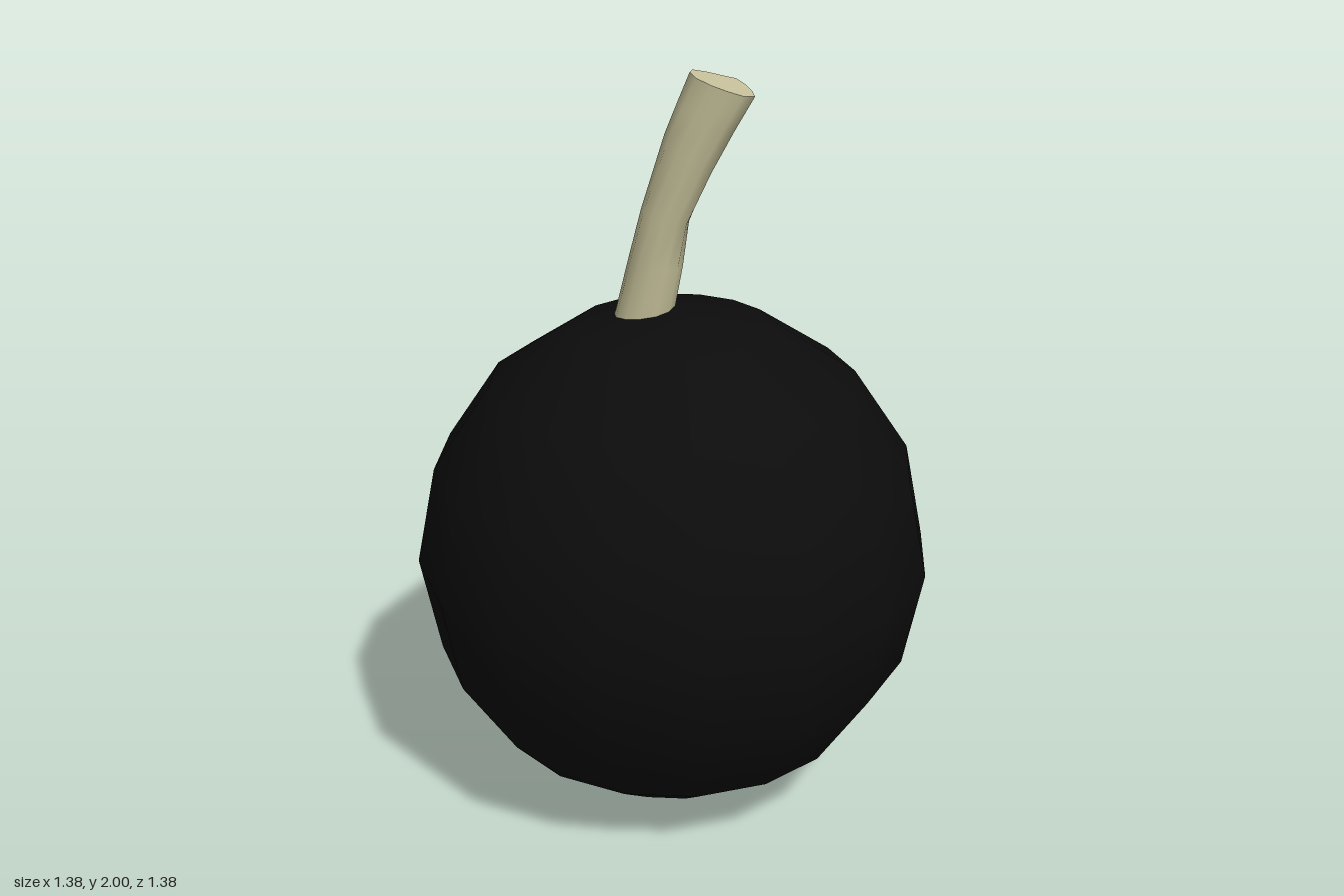
import * as THREE from 'three';

// Cut end of the stem as a unit outline (x, z), pinched at the back right
const CUT = [
  [1, 0.45], [0.75, 0.92], [0.3, 1.05], [-0.2, 1.03], [-0.7, 0.8], [-0.97, 0.35],
  [-0.98, -0.1], [-0.65, -0.45], [-0.2, -0.72], [0.17, -0.97], [0.5, -0.65], [0.8, -0.15],
];

// Stem rings: left x, left y, right x, right y, blend from round to the cut outline
const RINGS = [
  [-0.19, 1.25, -0.03, 1.25, 0],
  [-0.155, 1.36, 0.0, 1.36, 0],
  [-0.12, 1.5, 0.025, 1.49, 0.1],
  [-0.083, 1.64, 0.045, 1.61, 0.45],
  [-0.02, 1.84, 0.108, 1.75, 0.75],
  [0.012, 1.92, 0.165, 1.86, 0.9],
  [0.045, 2.0, 0.215, 1.95, 1],
];

function ringPoints([lx, ly, rx, ry, blend]) {
  return CUT.map(([cu, cv], i) => {
    const a = THREE.MathUtils.degToRad(25 + 30 * i);
    const u = THREE.MathUtils.lerp(Math.cos(a), cu, blend);
    const v = THREE.MathUtils.lerp(Math.sin(a), cv, blend);
    return [(lx + rx) / 2 + u * (rx - lx) / 2, (ly + ry) / 2 + u * (ry - ly) / 2, v * 0.067];
  });
}

function makeGeometry(points, index) {
  const geometry = new THREE.BufferGeometry();
  geometry.setAttribute('position', new THREE.Float32BufferAttribute(points.flat(), 3));
  geometry.setIndex(index);
  geometry.computeVertexNormals();
  return geometry;
}

function addMesh(parent, name, geometry, material) {
  const mesh = new THREE.Mesh(geometry, material);
  mesh.name = name;
  parent.add(mesh);
  return mesh;
}

export function createModel() {
  const model = new THREE.Group();
  model.name = 'roundFruit';
  const skin = new THREE.MeshStandardMaterial({ color: 0x0c0c0c });
  const wood = new THREE.MeshStandardMaterial({ color: 0xc6c19a });

  // Round body
  const body = addMesh(model, 'body', new THREE.SphereGeometry(0.69, 16, 8), skin);
  body.position.y = 0.69;

  // Bent stem, smooth along its side
  const stem = new THREE.Group();
  stem.name = 'stem';
  model.add(stem);
  const n = CUT.length;
  const rings = RINGS.map(ringPoints);
  const sides = [];
  for (let r = 0; r < rings.length - 1; r++) {
    for (let i = 0; i < n; i++) {
      const a = r * n + i, b = r * n + (i + 1) % n;
      sides.push(a, a + n, b, b, a + n, b + n);
    }
  }
  addMesh(stem, 'stemSide', makeGeometry(rings.flat(), sides), wood);

  // Slanted cut end
  const [lx, ly, rx, ry] = RINGS[RINGS.length - 1];
  const top = [...rings[rings.length - 1], [(lx + rx) / 2, (ly + ry) / 2, 0]];
  const fan = [];
  for (let i = 0; i < n; i++) fan.push(n, (i + 1) % n, i);
  addMesh(stem, 'stemCut', makeGeometry(top, fan), wood);

  return model;
}
